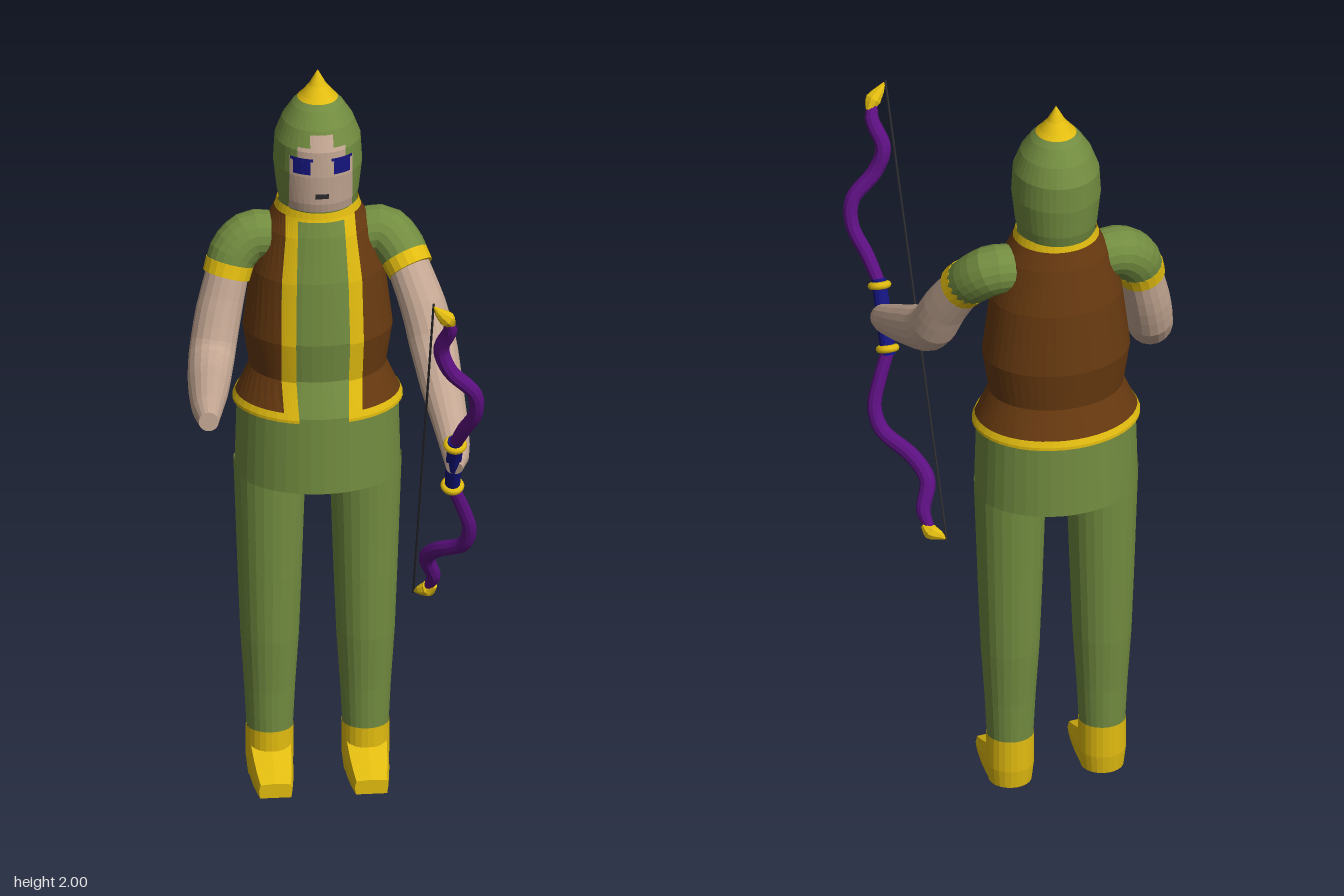
import * as THREE from 'three';

const ZC = -0.295; // depth of the body axis

const mat = (name, color, side = THREE.FrontSide) => {
  const m = new THREE.MeshStandardMaterial({ color, side });
  m.name = name;
  return m;
};

// Flat facets, stored in the normals
function facet(geo) {
  const g = geo.index ? geo.toNonIndexed() : geo;
  g.computeVertexNormals();
  return g;
}

// Size of a [y, rx, rz] profile at one height
function rowAt(profile, y) {
  for (let i = 1; i < profile.length; i++) {
    const a = profile[i - 1], b = profile[i];
    if (y <= b[0]) {
      const t = (y - a[0]) / (b[0] - a[0]);
      return [y, a[1] + (b[1] - a[1]) * t, a[2] + (b[2] - a[2]) * t];
    }
  }
  return profile[profile.length - 1];
}

// Elliptical wall between two heights; edges(rx, y) gives its angle range
function shell(profile, y0, y1, edges, off = 0, n = 40, cx = 0) {
  const rows = [rowAt(profile, y0), ...profile.filter(r => r[0] > y0 && r[0] < y1), rowAt(profile, y1)];
  const pos = [], idx = [];
  rows.forEach(([y, rx, rz], i) => {
    const [a0, a1] = edges(rx + off, y);
    for (let j = 0; j <= n; j++) {
      const a = a0 + (a1 - a0) * j / n;
      pos.push(cx + Math.sin(a) * (rx + off), y, ZC + Math.cos(a) * (rz + off));
      if (i && j < n) {
        const p = (i - 1) * (n + 1) + j, q = p + n + 1;
        idx.push(p, p + 1, q, p + 1, q + 1, q);
      }
    }
  });
  const g = new THREE.BufferGeometry();
  g.setAttribute('position', new THREE.Float32BufferAttribute(pos, 3));
  g.setIndex(idx);
  return facet(g);
}
const around = () => [0, Math.PI * 2];
const angle = (x, rx) => Math.asin(THREE.MathUtils.clamp(x / rx, -1, 1));
const between = (x0, x1) => rx => [angle(x0, rx), angle(x1, rx)];

// Tapering tube through [x, y, z, radius] points, closed at both ends
function limb(points, segments = 20, sides = 16) {
  const curve = new THREE.CatmullRomCurve3(points.map(p => new THREE.Vector3(p[0], p[1], p[2])));
  const g = new THREE.TubeGeometry(curve, segments, 1, sides);
  const pos = g.attributes.position, v = new THREE.Vector3();
  const index = Array.from(g.index.array);
  const coords = Array.from(pos.array);
  for (let i = 0; i <= segments; i++) {
    const c = curve.getPointAt(i / segments);
    const t = curve.getUtoTmapping(i / segments) * (points.length - 1);
    const k = Math.min(Math.floor(t), points.length - 2);
    const r = THREE.MathUtils.lerp(points[k][3], points[k + 1][3], t - k);
    for (let j = 0; j <= sides; j++) {
      const id = i * (sides + 1) + j;
      v.fromBufferAttribute(pos, id).sub(c).multiplyScalar(r).add(c).toArray(coords, id * 3);
    }
  }
  // end caps, wound to match the wall
  [0, segments].forEach(i => {
    const id = coords.length / 3, base = i * (sides + 1);
    coords.push(...curve.getPointAt(i / segments).toArray());
    for (let j = 0; j < sides; j++) {
      if (i) index.push(id, base + j + 1, base + j);
      else index.push(id, base + j, base + j + 1);
    }
  });
  const out = new THREE.BufferGeometry();
  out.setAttribute('position', new THREE.Float32BufferAttribute(coords, 3));
  out.setIndex(index);
  return facet(out);
}

export function createModel() {
  const model = new THREE.Group();
  model.name = 'archer';
  const green = mat('green cloth', 0x728c40, THREE.DoubleSide);
  const brown = mat('brown leather', 0x683a10, THREE.DoubleSide);
  const gold = mat('gold trim', 0xe2bc10, THREE.DoubleSide);
  const skin = mat('skin', 0xc4a793);
  const blue = mat('blue', 0x14147c);
  const purple = mat('purple', 0x5c1080);
  const dark = mat('dark grey', 0x2c2c30);

  const add = (name, geo, material, parent = model) => {
    const m = new THREE.Mesh(geo, material);
    m.name = name;
    parent.add(m);
    return m;
  };

  // Head: hood, gold spike, face painted on the front
  const hood = [[1.639, 0, 0], [1.64, 0.1, 0.108], [1.67, 0.106, 0.116], [1.75, 0.115, 0.123], [1.82, 0.111, 0.121],
    [1.87, 0.092, 0.1], [1.91, 0.066, 0.07], [1.935, 0.042, 0.044], [1.96, 0.022, 0.022], [2, 0, 0]];
  add('hood', shell(hood, 1.639, 1.925, around), green);
  add('hoodSpike', shell(hood, 1.925, 2, around, 0.001), gold);
  add('face', shell(hood, 1.645, 1.8, between(-0.082, 0.082), 0.003, 12), skin);
  add('brow', shell(hood, 1.8, 1.83, between(-0.062, 0.062), 0.003, 10), skin);
  add('forehead', shell(hood, 1.83, 1.862, between(-0.03, 0.03), 0.003, 6), skin);
  add('mouth', shell(hood, 1.688, 1.702, between(-0.018, 0.018), 0.005, 4), dark);
  for (const s of [-1, 1]) {
    const x = s * 0.052;
    add('eye', shell(hood, 1.758, 1.795, between(x - 0.022, x + 0.022), 0.005, 4), blue);
    add('eyelash', shell(hood, 1.795, 1.803, between(x - 0.028, x + 0.028), 0.005, 4), blue);
  }

  // Tunic with skirt
  const tunic = [[0.869, 0, 0], [0.87, 0.215, 0.176], [1.08, 0.209, 0.17], [1.17, 0.169, 0.134], [1.28, 0.186, 0.149],
    [1.45, 0.165, 0.136], [1.57, 0.13, 0.112], [1.62, 0.104, 0.097], [1.66, 0.094, 0.09]];
  add('tunic', shell(tunic, 0.869, 1.65, around), green);

  // Open vest with gold hem, collar and front edges
  const inner = y => 0.062 + 0.008 * Math.cos((y - 1.3) * 6);
  const outer = y => inner(y) + (y > 1.55 ? 0.03 : 0.037);
  add('vest', shell(tunic, 1.085, 1.62, (rx, y) => {
    const a = angle(outer(y), rx);
    return [a, Math.PI * 2 - a];
  }, 0.008), brown);
  for (const s of [-1, 1]) {
    add('vestFrontEdge', shell(tunic, 1.085, 1.625, (rx, y) => {
      const a = angle(inner(y), rx), b = angle(outer(y), rx);
      return s > 0 ? [a, b] : [-b, -a];
    }, 0.01, 5), gold);
  }
  add('vestHem', shell(tunic, 1.072, 1.096, (rx, y) => {
    const a = angle(inner(y), rx);
    return [a, Math.PI * 2 - a];
  }, 0.011), gold);
  add('collar', shell(tunic, 1.612, 1.642, around, 0.007), gold);

  // Legs and shoes
  const leg = [[0.13, 0.06, 0.06], [0.25, 0.066, 0.065], [0.4, 0.076, 0.077], [0.58, 0.083, 0.083], [0.9, 0.094, 0.092]];
  const ankle = [[0, 0.056, 0.056], [0.05, 0.062, 0.062], [0.14, 0.062, 0.062]];
  for (const s of [-1, 1]) {
    const x = s * 0.124;
    add('leg', shell(leg, 0.13, 0.9, around, 0, 24, x), green);
    add('ankle', shell(ankle, 0, 0.14, around, 0, 24, x), gold);
    const sole = add('heelSole', new THREE.CircleGeometry(0.05, 20), green);
    sole.rotation.x = Math.PI / 2;
    sole.position.set(x, 0.001, ZC);
    // wedge-shaped toe, lower and narrower towards the tip
    const toe = new THREE.BoxGeometry(1, 1, 1, 2, 2, 4);
    const p = toe.attributes.position;
    for (let i = 0; i < p.count; i++) {
      const t = p.getZ(i) + 0.5, h = p.getY(i) + 0.5;
      const width = (0.122 - 0.03 * t * t) * (1 - 0.12 * (1 - h));
      const crown = h > 0.9 && Math.abs(p.getX(i)) > 0.4 ? 0.85 : 1;
      p.setXYZ(i, x + p.getX(i) * width * crown, h * (0.115 - 0.075 * t) * (crown + 1) / 2, ZC + 0.16 * t);
    }
    add('shoeToe', facet(toe), gold);
  }

  // Arms: sleeve, gold cuff, bare forearm reaching forward
  const arms = {
    left: {
      sleeve: [[0.1, 1.53, -0.295, 0.062], [0.17, 1.535, -0.292, 0.066], [0.21, 1.5, -0.262, 0.064], [0.228, 1.468, -0.232, 0.06]],
      cuff: [[0.22, 1.482, -0.244, 0.063], [0.234, 1.455, -0.222, 0.062]],
      forearm: [[0.225, 1.47, -0.235, 0.055], [0.262, 1.37, -0.17, 0.06], [0.282, 1.285, -0.12, 0.062], [0.293, 1.22, 0, 0.055],
        [0.305, 1.16, 0.13, 0.044], [0.308, 1.125, 0.21, 0.036], [0.3, 1.11, 0.255, 0.022]],
    },
    right: {
      sleeve: [[-0.1, 1.53, -0.295, 0.062], [-0.17, 1.535, -0.295, 0.066], [-0.215, 1.5, -0.285, 0.065], [-0.235, 1.455, -0.273, 0.06]],
      cuff: [[-0.229, 1.472, -0.277, 0.063], [-0.239, 1.438, -0.268, 0.062]],
      forearm: [[-0.232, 1.46, -0.275, 0.055], [-0.262, 1.34, -0.245, 0.06], [-0.283, 1.245, -0.2, 0.06], [-0.3, 1.22, -0.1, 0.056],
        [-0.312, 1.227, 0, 0.05], [-0.325, 1.238, 0.11, 0.04], [-0.33, 1.243, 0.195, 0.026]],
    },
  };
  for (const [side, arm] of Object.entries(arms)) {
    add(side + 'Sleeve', limb(arm.sleeve, 9, 18), green);
    add(side + 'Cuff', limb(arm.cuff, 2, 18), gold);
    add(side + 'Forearm', limb(arm.forearm, 16, 18), skin);
  }

  // Bow: curling limbs, wrapped grip, rings, tips and string
  const bow = new THREE.Group();
  bow.name = 'bow';
  model.add(bow);
  add('upperBowLimb', limb([[0.3, 1.19, 0.275, 0.017], [0.318, 1.25, 0.32, 0.019], [0.345, 1.32, 0.365, 0.019], [0.338, 1.385, 0.385, 0.02],
    [0.275, 1.455, 0.392, 0.021], [0.252, 1.52, 0.395, 0.021], [0.272, 1.59, 0.43, 0.019], [0.262, 1.625, 0.45, 0.012]], 40, 10), purple, bow);
  add('lowerBowLimb', limb([[0.3, 1.03, 0.198, 0.017], [0.325, 0.97, 0.182, 0.018], [0.348, 0.89, 0.162, 0.019], [0.336, 0.835, 0.135, 0.02],
    [0.275, 0.785, 0.06, 0.021], [0.252, 0.74, 0.01, 0.021], [0.273, 0.67, -0.022, 0.019], [0.262, 0.63, -0.045, 0.012]], 40, 10), purple, bow);
  add('grip', limb([[0.3, 1.02, 0.195, 0.02], [0.3, 1.11, 0.235, 0.021], [0.3, 1.2, 0.28, 0.02]], 6, 12), blue, bow);
  const axis = new THREE.Vector3(0, 0.9, 0.43).normalize();
  for (const [y, z] of [[1.185, 0.272], [1.035, 0.202]]) {
    const ring = add('gripRing', new THREE.TorusGeometry(0.021, 0.01, 8, 20), gold, bow);
    ring.position.set(0.3, y, z);
    ring.quaternion.setFromUnitVectors(new THREE.Vector3(0, 0, 1), axis);
  }
  add('upperBowTip', limb([[0.276, 1.61, 0.44, 0.01], [0.262, 1.632, 0.452, 0.022], [0.243, 1.652, 0.458, 0.014], [0.228, 1.672, 0.462, 0.003]], 8, 8), gold, bow);
  add('lowerBowTip', limb([[0.276, 0.638, -0.035, 0.01], [0.262, 0.622, -0.05, 0.022], [0.243, 0.614, -0.06, 0.014], [0.228, 0.606, -0.07, 0.003]], 8, 8), gold, bow);
  add('bowString', limb([[0.226, 1.68, 0.46, 0.003], [0.226, 0.6, -0.075, 0.003]], 2, 6), dark, bow);
  return model;
}
